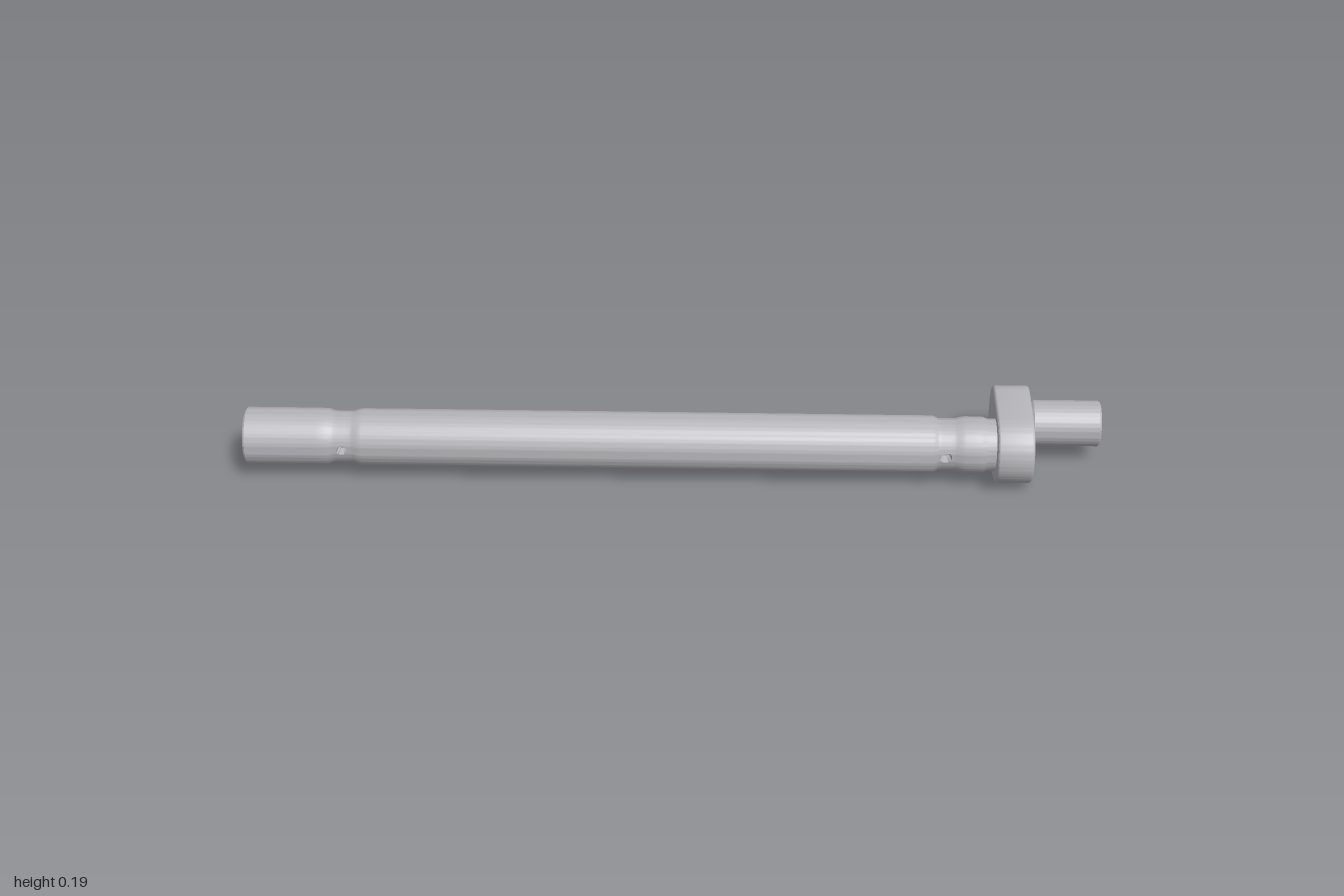
import * as THREE from 'three';
import { toCreasedNormals } from 'three/addons/utils/BufferGeometryUtils.js';

const AXIS_Y = 0.095;
const SHAFT_Z = 0.038;
const PIN_Z = -0.062;

// Turned part along x from [x, radius] pairs; carve(x, angle, radius) returns the new radius.
// Angle 0 faces +z, PI faces -z.
function turned(profile, segments, carve) {
  const points = profile.map(([x, r]) => new THREE.Vector2(r, x));
  const geometry = new THREE.LatheGeometry(points, segments, Math.PI / 2);
  const p = geometry.attributes.position;
  for (let i = 0; i < p.count; i++) {
    const r = Math.hypot(p.getX(i), p.getZ(i));
    if (r < 0.03) continue;
    const k = carve(p.getY(i), Math.atan2(p.getX(i), p.getZ(i)), r) / r;
    p.setX(i, p.getX(i) * k);
    p.setZ(i, p.getZ(i) * k);
  }
  geometry.rotateZ(-Math.PI / 2);
  return toCreasedNormals(geometry, 0.6);
}

// Closely spaced rings of equal radius, so that a hole can be sunk between them
function rings(from, to, count, radius) {
  return Array.from({ length: count }, (_, i) => [from + ((to - from) * i) / (count - 1), radius]);
}

// Web outline, drawn with u = -z
function webShape() {
  const s = new THREE.Shape();
  s.moveTo(0.06, 0.0);
  s.absarc(0.06, 0.066, 0.066, -Math.PI / 2, 0, false);
  s.lineTo(0.126, 0.121);
  s.absarc(0.06, 0.121, 0.066, 0, Math.PI / 2 + 0.09, false);
  s.absarc(-0.044, 0.094, 0.083, Math.PI / 2 + 0.09, Math.PI * 1.5 - 0.09, false);
  s.closePath();
  return s;
}

export function createModel() {
  const model = new THREE.Group();
  const steel = new THREE.MeshStandardMaterial({ color: 0xb4b4b8 });
  steel.name = 'steel';

  const add = (name, geometry, y, z) => {
    const mesh = new THREE.Mesh(geometry, steel);
    mesh.name = name;
    mesh.position.set(0, y, z);
    model.add(mesh);
  };

  // Main shaft: centre-drilled end, two necks with an oil hole each, collar before the web
  const shaftProfile = [
    [-0.94, 0], [-0.965, 0.02], [-1, 0.026], [-1, 0.064], [-0.996, 0.067],
    [-0.83, 0.067], [-0.805, 0.066], [-0.795, 0.062],
    ...rings(-0.787, -0.753, 9, 0.061),
    [-0.745, 0.062], [-0.735, 0.066], [-0.725, 0.067],
    [0.6, 0.067], [0.608, 0.064],
    ...rings(0.613, 0.647, 9, 0.061),
    [0.655, 0.062], [0.665, 0.065], [0.675, 0.066], [0.708, 0.066],
    [0.718, 0.065], [0.728, 0.061], [0.76, 0.061],
  ];
  add('mainShaft', turned(shaftProfile, 96, (x, angle, r) => {
    const onHole = [-0.77, 0.63].some((hx) => Math.hypot(x - hx, angle * r) < 0.0105);
    return onHole ? r - 0.02 : r;
  }), AXIS_Y, SHAFT_Z);

  // Crank web
  const web = new THREE.ExtrudeGeometry(webShape(), {
    depth: 0.073, bevelEnabled: true, bevelThickness: 0.006, bevelSize: 0.006,
    bevelOffset: -0.006, bevelSegments: 3, curveSegments: 28,
  });
  web.rotateY(Math.PI / 2);
  web.translate(0.752, 0, 0);
  add('crankWeb', toCreasedNormals(web, 0.6), 0, 0);

  // Offset pin with a closed keyway on its back
  const pinProfile = [
    [0.82, 0.05], [0.838, 0.05], [0.843, 0.054], [0.862, 0.054], [0.865, 0.054],
    [0.94, 0.054], [0.943, 0.054], [0.996, 0.054], [1, 0.051], [1, 0],
  ];
  add('crankPin', turned(pinProfile, 96, (x, angle, r) => {
    const inSlot = x > 0.864 && x < 0.941 && Math.abs(Math.abs(angle) - Math.PI) * r < 0.0105;
    return inSlot ? r - 0.016 : r;
  }), AXIS_Y, PIN_Z);

  return model;
}
